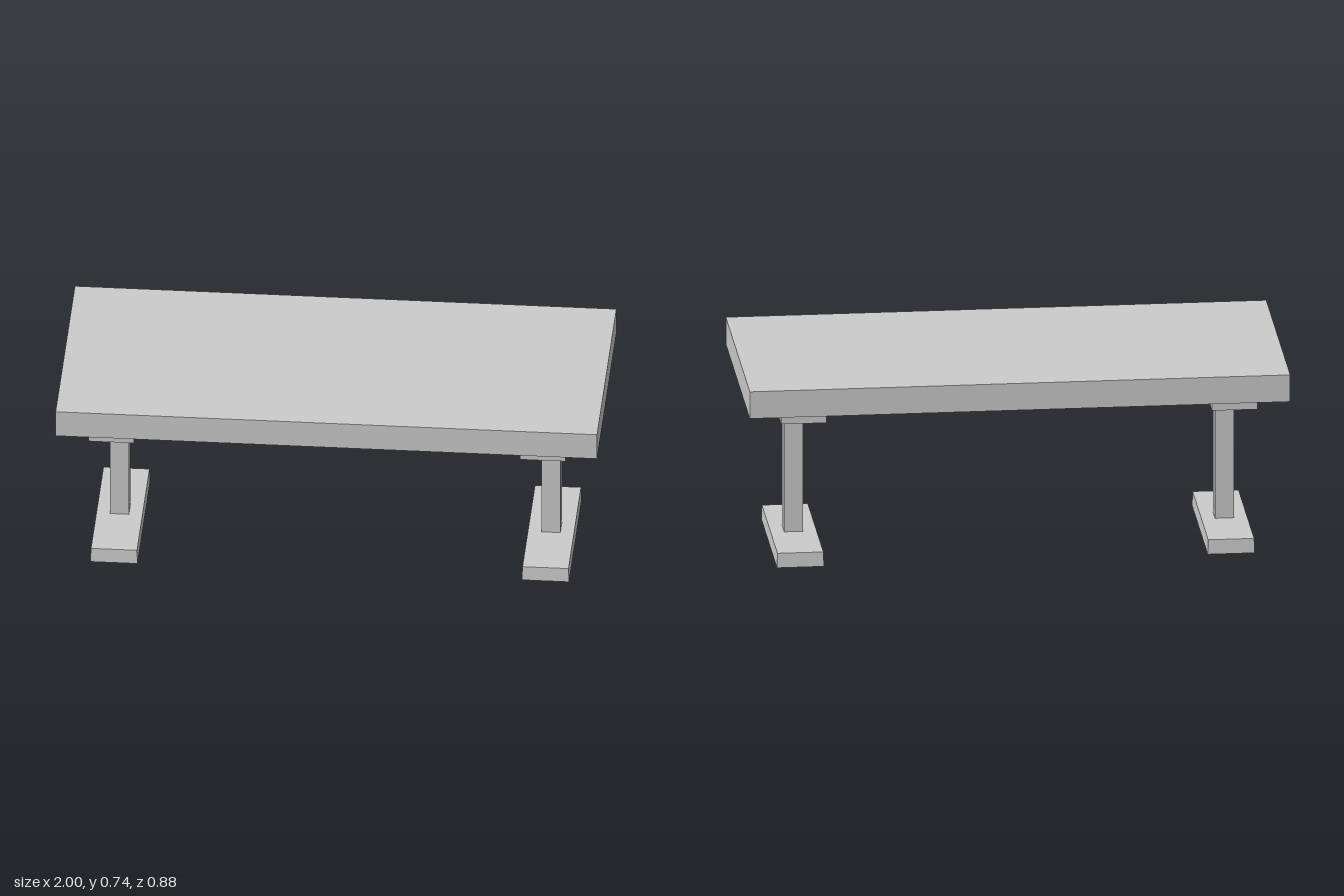
import * as THREE from 'three';

const material = new THREE.MeshStandardMaterial({ color: 0xcccccc, flatShading: true });

function part(name, geometry, x, y, z) {
  const mesh = new THREE.Mesh(geometry, material);
  mesh.name = name;
  mesh.position.set(x, y, z);
  return mesh;
}

// Box given by its width, depth and bottom and top heights
function block(name, width, depth, bottom, top) {
  return part(name, new THREE.BoxGeometry(width, top - bottom, depth), 0, (bottom + top) / 2, 0);
}

// Skin rectangular rings [halfWidth, halfDepth, height] into a surface
function rectangularShell(rings) {
  const corners = [[1, 1], [1, -1], [-1, -1], [-1, 1]];
  const positions = [];
  const point = ([hx, hz, y], c) => [corners[c % 4][0] * hx, y, corners[c % 4][1] * hz];
  for (let i = 0; i < rings.length - 1; i++) {
    for (let c = 0; c < 4; c++) {
      const a = point(rings[i], c), b = point(rings[i], c + 1);
      const d = point(rings[i + 1], c), e = point(rings[i + 1], c + 1);
      if (rings[i][0] > 0) positions.push(...a, ...b, ...e);
      if (rings[i + 1][0] > 0) positions.push(...a, ...e, ...d);
    }
  }
  const geometry = new THREE.BufferGeometry();
  geometry.setAttribute('position', new THREE.Float32BufferAttribute(positions, 3));
  geometry.computeVertexNormals();
  return geometry;
}

function createLeg() {
  const leg = new THREE.Group();
  leg.add(block('supportPlate', 0.168, 0.826, 0.597, 0.632));
  leg.add(block('post', 0.07, 0.074, 0.052, 0.6));

  // Tapered foot, hollow underneath, with a small pocket below the post
  leg.add(part('foot', rectangularShell([
    [0, 0, 0.051],
    [0.026, 0.028, 0.051],
    [0.026, 0.028, 0.035],
    [0.064, 0.266, 0.035],
    [0.067, 0.269, 0],
    [0.087, 0.29, 0],
    [0.085, 0.286, 0.055],
    [0, 0, 0.055],
  ]), 0, 0, 0));
  return leg;
}

export function createModel() {
  const table = new THREE.Group();
  table.name = 'table';
  table.add(block('tabletop', 2, 0.884, 0.632, 0.736));

  // Matching leg at each end
  for (const side of [1, -1]) {
    const leg = createLeg();
    leg.name = side > 0 ? 'leftLeg' : 'rightLeg';
    leg.position.x = side * 0.797;
    table.add(leg);
  }
  return table;
}
